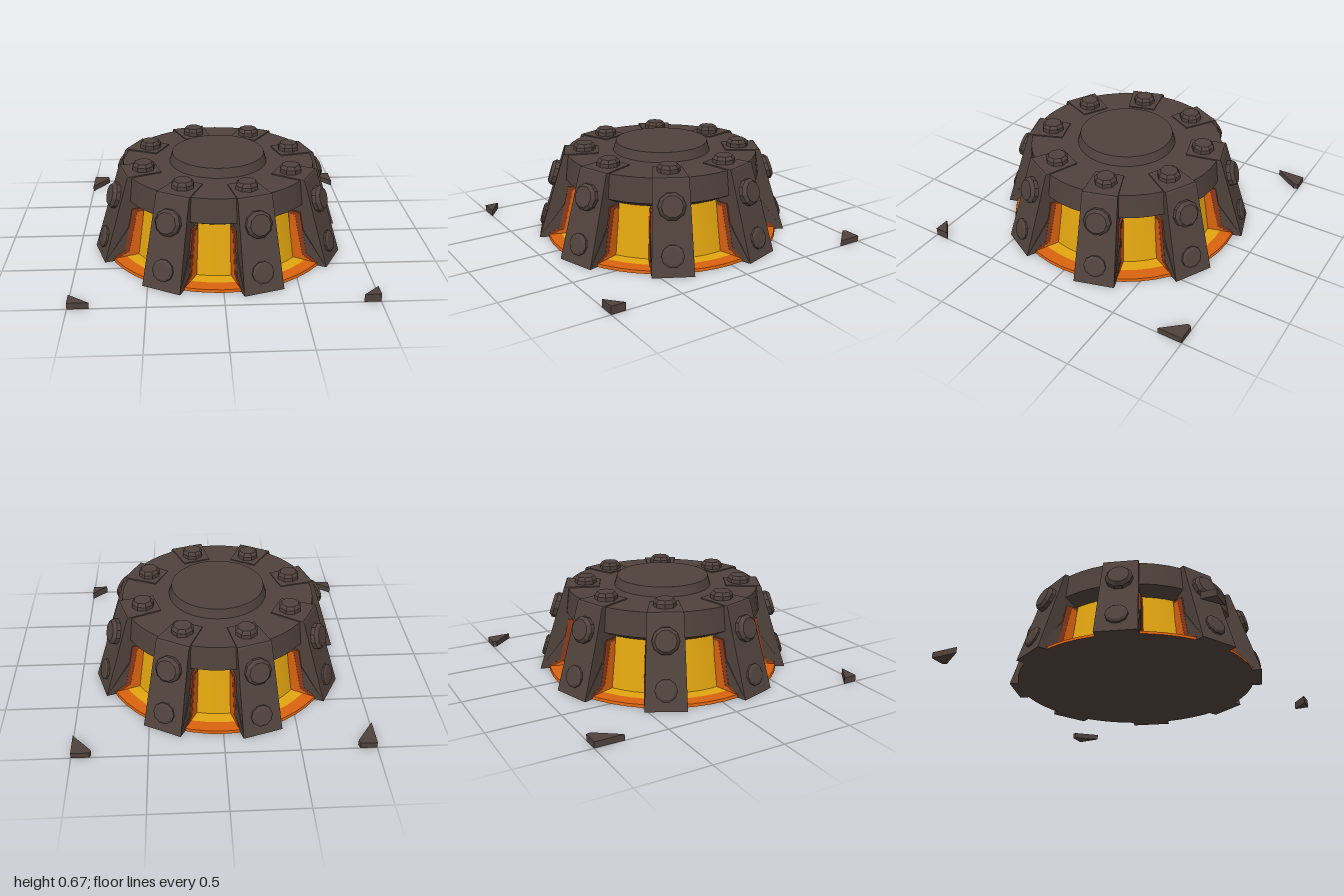
import * as THREE from 'three';
import { toCreasedNormals } from 'three/addons/utils/BufferGeometryUtils.js';

const mat = (name, color) => {
  const m = new THREE.MeshStandardMaterial({ color });
  m.name = name;
  return m;
};

export function createModel() {
  const iron = mat('dark iron', 0x50423c);
  const ember = mat('ember red', 0x8a3a1c);
  const orange = mat('hot orange', 0xd9620f);
  const yellow = mat('molten yellow', 0xe2a510);

  const add = (parent, name, geometry, material) => {
    const mesh = new THREE.Mesh(geometry, material);
    mesh.name = name;
    parent.add(mesh);
    return mesh;
  };
  const lathe = (points, sides = 48, crease = 0.5) => toCreasedNormals(
    new THREE.LatheGeometry(points.map(([r, y]) => new THREE.Vector2(r, y)), sides), crease);

  // Side profile (radius, height) made into a slab that narrows upward and inward
  const slab = (points, extra = 0) => {
    const shape = new THREE.Shape(points.map(([r, y]) => new THREE.Vector2(r, y)));
    const geo = new THREE.ExtrudeGeometry(shape, { depth: 1, bevelEnabled: false });
    const p = geo.attributes.position;
    for (let i = 0; i < p.count; i++) {
      const inward = p.getY(i) > 0.5 ? Math.max(0, 0.7 - p.getX(i)) : 0;
      const half = 0.14 - 0.033 * p.getY(i) - 0.09 * inward + extra;
      p.setZ(i, p.getZ(i) > 0.5 ? half : -half);
    }
    geo.computeVertexNormals();
    return geo;
  };

  // Faceted bolt head with a chamfered top
  const bolt = (r, h, sides) => lathe([[r, -0.02], [r, h * 0.55], [r * 0.78, h], [0, h]], sides, 0.2);

  const model = new THREE.Group();
  model.name = 'ventedHub';
  const body = new THREE.Group();
  body.name = 'body';
  body.position.z = 0.015;
  model.add(body);

  // Base, glowing floor and core
  add(body, 'underside', lathe([[0, 0], [0.835, 0]]), iron);
  add(body, 'floorRim', lathe([[0.835, 0], [0.83, 0.02], [0.745, 0.024]]), orange);
  add(body, 'floorGlow', lathe([[0.745, 0.024], [0.66, 0.026]]), yellow);
  add(body, 'core', lathe([[0.66, 0.026], [0.6, 0.39]]), yellow);

  // Cap with raised centre
  add(body, 'cap', lathe([[0.59, 0.375], [0.695, 0.43], [0.675, 0.6], [0.345, 0.6],
    [0.325, 0.665], [0, 0.665]]), iron);

  // Eight ribs with bolts, and heat glow on their inner sides
  const ribGeo = slab([[0.64, 0], [0.888, 0], [0.698, 0.6], [0.69, 0.608], [0.45, 0.608],
    [0.45, 0.57], [0.58, 0.4]]);
  const emberGeo = slab([[0.62, 0.02], [0.83, 0.02], [0.74, 0.07], [0.675, 0.37], [0.6, 0.37]], 0.0015);
  const glowGeo = slab([[0.62, 0.02], [0.79, 0.02], [0.71, 0.06], [0.64, 0.35], [0.6, 0.35]], 0.003);
  const topBolt = bolt(0.078, 0.05, 8);
  const upperBolt = bolt(0.092, 0.05, 10);
  const lowerBolt = bolt(0.076, 0.024, 10);
  const tilt = -Math.atan2(0.6, 0.19);
  for (let i = 0; i < 8; i++) {
    const rib = new THREE.Group();
    rib.name = 'rib' + (i + 1);
    rib.rotation.y = THREE.MathUtils.degToRad(17.4 + 45 * i - 90);
    body.add(rib);
    add(rib, 'ribBar', ribGeo, iron);
    add(rib, 'ribEmber', emberGeo, ember);
    add(rib, 'ribGlow', glowGeo, orange);
    add(rib, 'topBolt', topBolt, iron).position.set(0.55, 0.608, 0);
    for (const [name, geo, y] of [['upperBolt', upperBolt, 0.435], ['lowerBolt', lowerBolt, 0.13]]) {
      const b = add(rib, name, geo, iron);
      b.position.set(0.888 - y * 0.19 / 0.6, y, 0);
      b.rotation.z = tilt;
    }
  }

  // Small ground shards in the four corners: footprint as (x, z) and height
  const shards = [
    [[[-1, -1], [-0.89, -1], [-0.88, -0.97], [-1, -0.8]], 0.042],
    [[[1, -1], [0.88, -1], [0.87, -0.975], [1, -0.83]], 0.04],
    [[[-1, 1], [-0.86, 1], [-1, 0.9]], 0.045],
    [[[1, 1], [0.89, 1], [1, 0.9]], 0.055],
  ];
  shards.forEach(([outline, depth], i) => {
    const shape = new THREE.Shape(outline.map(([x, z]) => new THREE.Vector2(x, -z)));
    const geo = new THREE.ExtrudeGeometry(shape, { depth, bevelEnabled: false });
    geo.rotateX(-Math.PI / 2);
    add(model, 'cornerShard' + (i + 1), geo, iron);
  });

  return model;
}
